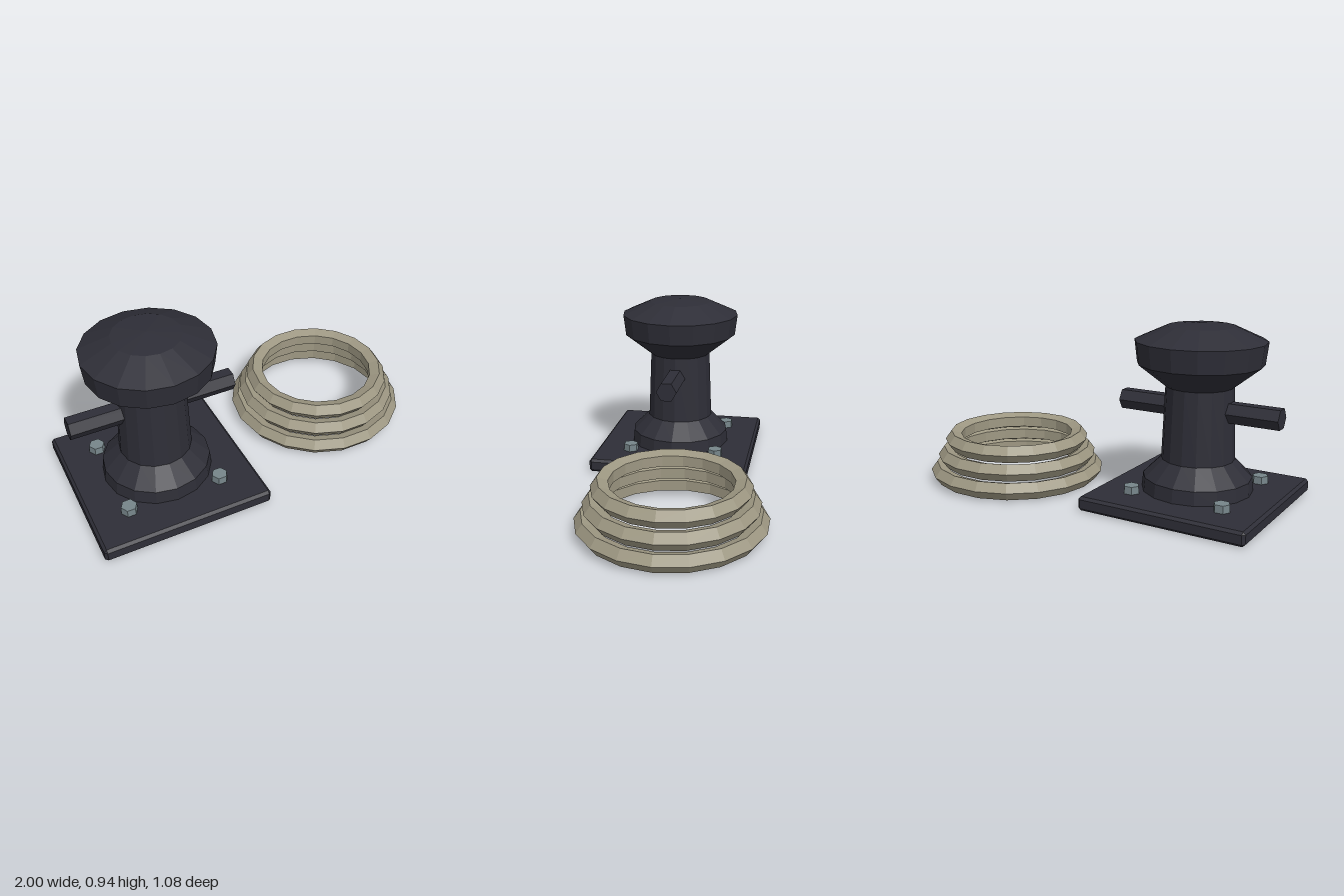
import * as THREE from 'three';
import { ConvexGeometry } from 'three/addons/geometries/ConvexGeometry.js';

const flat = (name, color) => {
  const m = new THREE.MeshStandardMaterial({ color });
  m.name = name;
  m.flatShading = true;
  return m;
};

// Box with every edge and corner chamfered by c
function chamferedBox(w, h, d, c) {
  const half = [w / 2, h / 2, d / 2];
  const points = [];
  for (const sx of [-1, 1]) for (const sy of [-1, 1]) for (const sz of [-1, 1]) {
    for (let outer = 0; outer < 3; outer++) {
      const p = half.map((v, axis) => (axis === outer ? v : v - c));
      points.push(new THREE.Vector3(p[0] * sx, p[1] * sy, p[2] * sz));
    }
  }
  return new ConvexGeometry(points);
}

export function createModel() {
  const iron = flat('dark iron', 0x2e2e37);
  const steel = flat('bolt steel', 0x76858a);
  const rope = flat('rope', 0x9e9883);

  const model = new THREE.Group();
  model.name = 'mooringBollard';

  const add = (parent, name, geometry, material, x = 0, y = 0, z = 0) => {
    const mesh = new THREE.Mesh(geometry, material);
    mesh.name = name;
    mesh.position.set(x, y, z);
    parent.add(mesh);
    return mesh;
  };

  const bollard = new THREE.Group();
  bollard.name = 'bollard';
  bollard.position.set(-0.5475, 0, 0.09);
  model.add(bollard);

  // Base plate
  add(bollard, 'basePlate', chamferedBox(0.905, 0.075, 0.905, 0.014), iron, 0, 0.0375, 0);

  // Turned post: flared foot, tapering shaft and mushroom cap
  const lathe = (profile) =>
    new THREE.LatheGeometry(profile.map(([r, y]) => new THREE.Vector2(r, y)), 16);
  add(bollard, 'foot', lathe([[0.29, 0.07], [0.283, 0.147], [0.19, 0.24]]), iron);
  add(bollard, 'shaft', lathe([[0.19, 0.24], [0.175, 0.62]]), iron);
  add(bollard, 'cap', lathe([
    [0.175, 0.62], [0.323, 0.737], [0.337, 0.853], [0.175, 0.926], [0, 0.941],
  ]), iron);

  // Hexagonal bar through the shaft
  const bar = new THREE.CylinderGeometry(0.058, 0.058, 0.882, 6).rotateZ(Math.PI / 2);
  add(bollard, 'crossBar', bar, iron, 0, 0.502, 0);

  // Hex bolts at the plate corners
  const bolt = new THREE.CylinderGeometry(0.042, 0.044, 0.045, 6).rotateY(Math.PI / 2);
  for (const sx of [-1, 1]) for (const sz of [-1, 1]) {
    add(bollard, 'bolt', bolt, steel, sx * 0.251, 0.0925, sz * 0.25);
  }

  // Stacked rope coils, each smaller than the one below
  const coil = new THREE.Group();
  coil.name = 'ropeCoil';
  coil.position.set(0.513, 0, -0.06);
  model.add(coil);
  for (let i = 0; i < 3; i++) {
    const ring = new THREE.TorusGeometry(0.438 - i * 0.043, 0.049, 5, 18).rotateX(Math.PI / 2);
    add(coil, 'ropeRing', ring, rope, 0, 0.055 + i * 0.088, 0);
  }

  return model;
}
